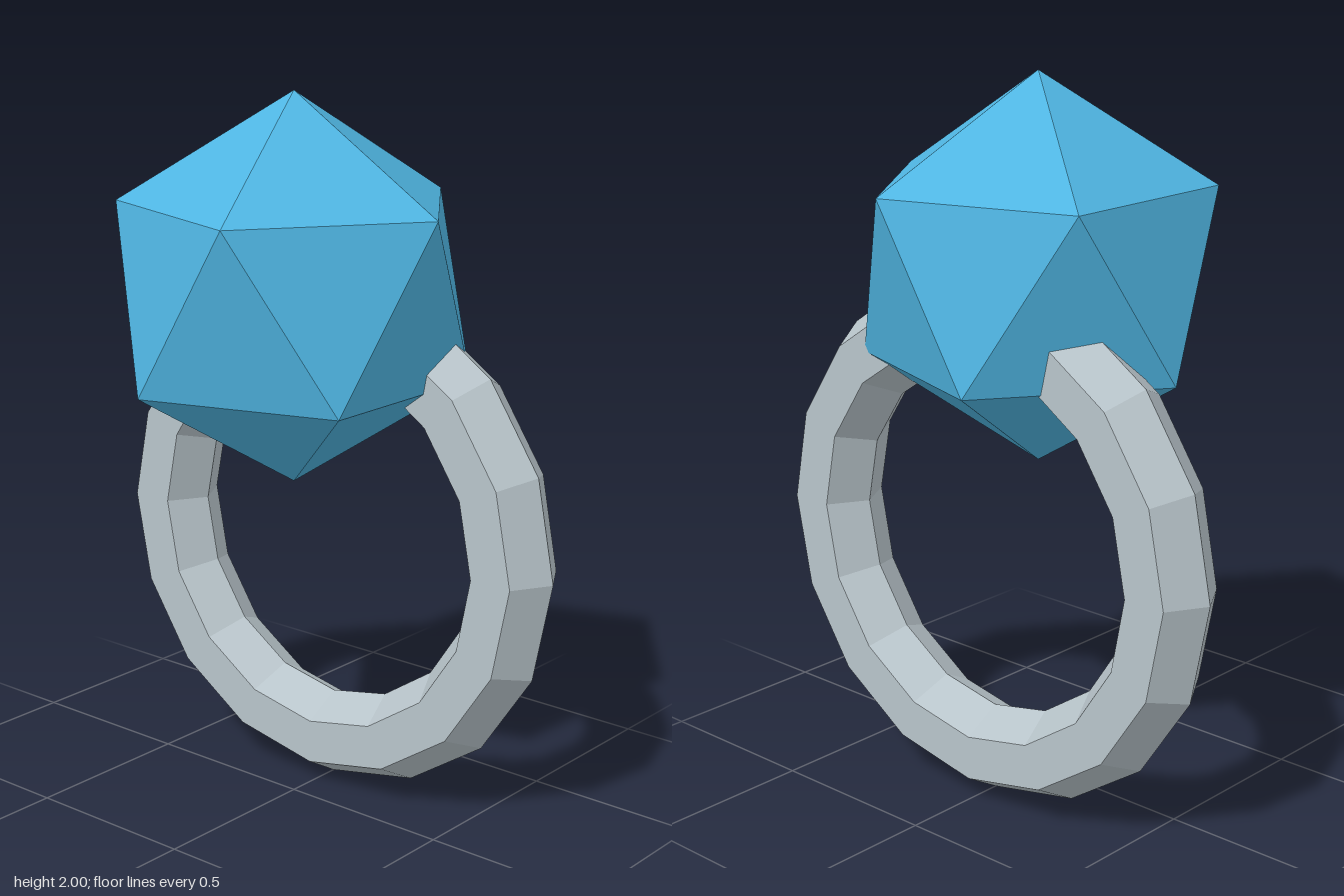
import * as THREE from 'three';

function part(name, geometry, color, x, y, z) {
  const material = new THREE.MeshStandardMaterial({ color, flatShading: true });
  const mesh = new THREE.Mesh(geometry, material);
  mesh.name = name;
  mesh.position.set(x, y, z);
  return mesh;
}

export function createModel() {
  const model = new THREE.Group();
  model.name = 'gemRing';

  // Twenty-sided gem, turned so that one corner points straight up
  const gem = new THREE.IcosahedronGeometry(0.535, 0);
  gem.rotateZ(-Math.atan(2 / (1 + Math.sqrt(5))));
  model.add(part('gem', gem, 0x4fb5e2, 0, 1.465, 0));

  // Upright band with a six-sided section, set behind the gem's centre
  const band = new THREE.TorusGeometry(0.616, 0.126, 6, 16);
  model.add(part('band', band, 0xb8c4ca, 0, 0.744, -0.18));

  return model;
}
